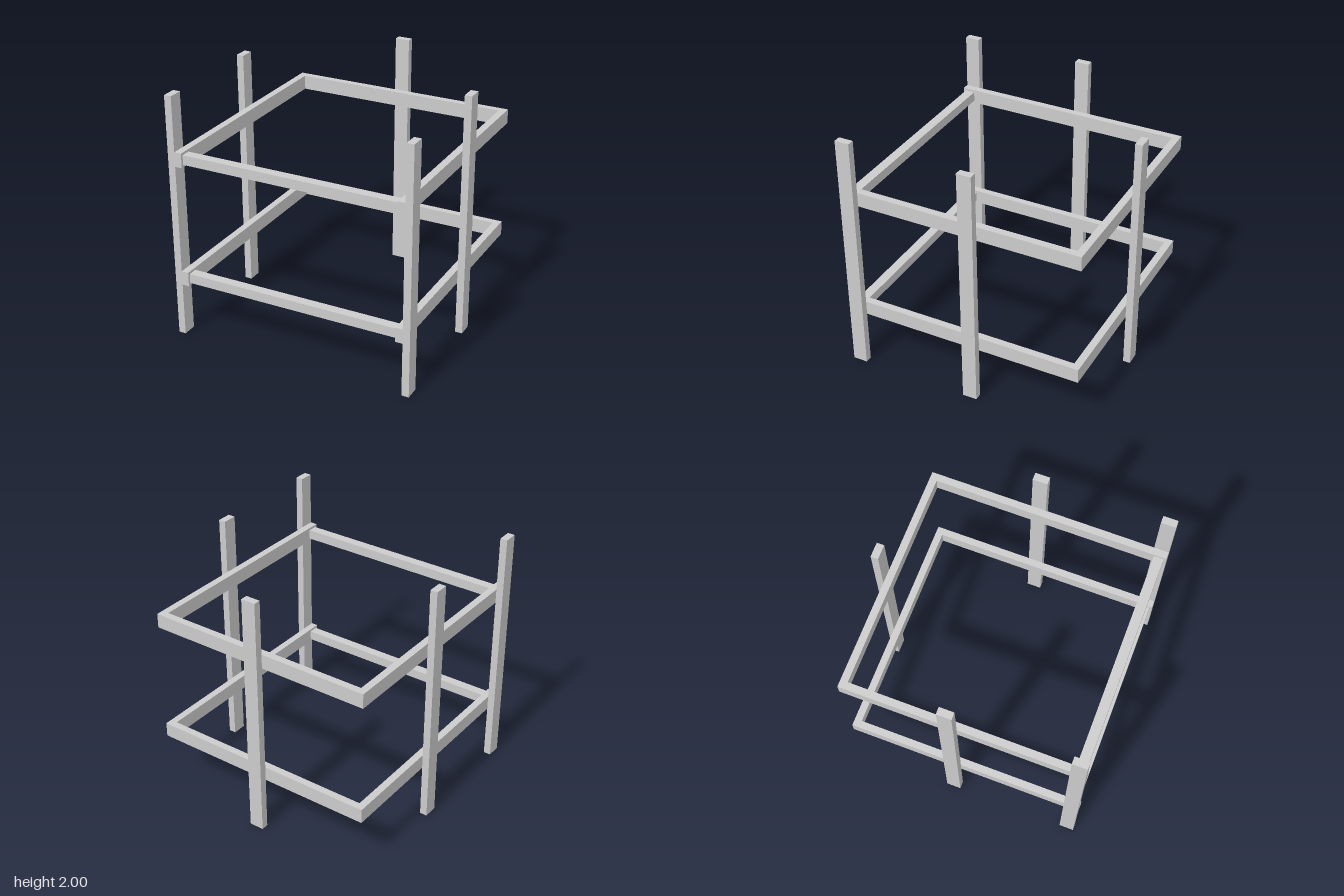
import * as THREE from 'three';

const T = 0.0588; // board thickness
const W = 0.1176; // board width

export function createModel() {
  const group = new THREE.Group();
  const material = new THREE.MeshStandardMaterial({ color: 0xcccccc, flatShading: true });

  // Box given by its extents on each axis
  const board = (name, [x0, x1], [y0, y1], [z0, z1]) => {
    const mesh = new THREE.Mesh(new THREE.BoxGeometry(x1 - x0, y1 - y0, z1 - z0), material);
    mesh.position.set((x0 + x1) / 2, (y0 + y1) / 2, (z0 + z1) / 2);
    mesh.name = name;
    group.add(mesh);
  };

  // Mirror an x extent to the chosen side
  const mirror = (side, a, b) => (side > 0 ? [a, b] : [-b, -a]);
  const sides = [[1, 'left'], [-1, 'right']];

  // Upright posts: two at the front corners, two mid-side, one at the back
  for (const [side, label] of sides) {
    const x = mirror(side, 1 - T, 1);
    board(`${label}FrontPost`, x, [0, 2], [1 - W, 1]);
    board(`${label}MiddlePost`, x, [0, 2], [-W, 0]);
  }
  board('backPost', [-W / 2, W / 2], [0, 2], [-1, -1 + T]);

  // Two horizontal frames inside the posts
  for (const [level, y] of [['lower', 0.5], ['upper', 1.5]]) {
    const height = [y - W / 2, y + W / 2];
    for (const [side, label] of sides) {
      board(`${level}${label}SideRail`, mirror(side, 1 - 2 * T, 1 - T), height, [-1 + 2 * T, 1]);
    }
    board(`${level}BackRail`, [-1 + T, 1 - T], height, [-1 + T, -1 + 2 * T]);
    // Slimmer square bar between the front ends of the side rails
    board(`${level}FrontBar`, [-1 + 2 * T, 1 - 2 * T], [y - 0.039, y + 0.039], [0.902, 0.98]);
  }

  return group;
}
